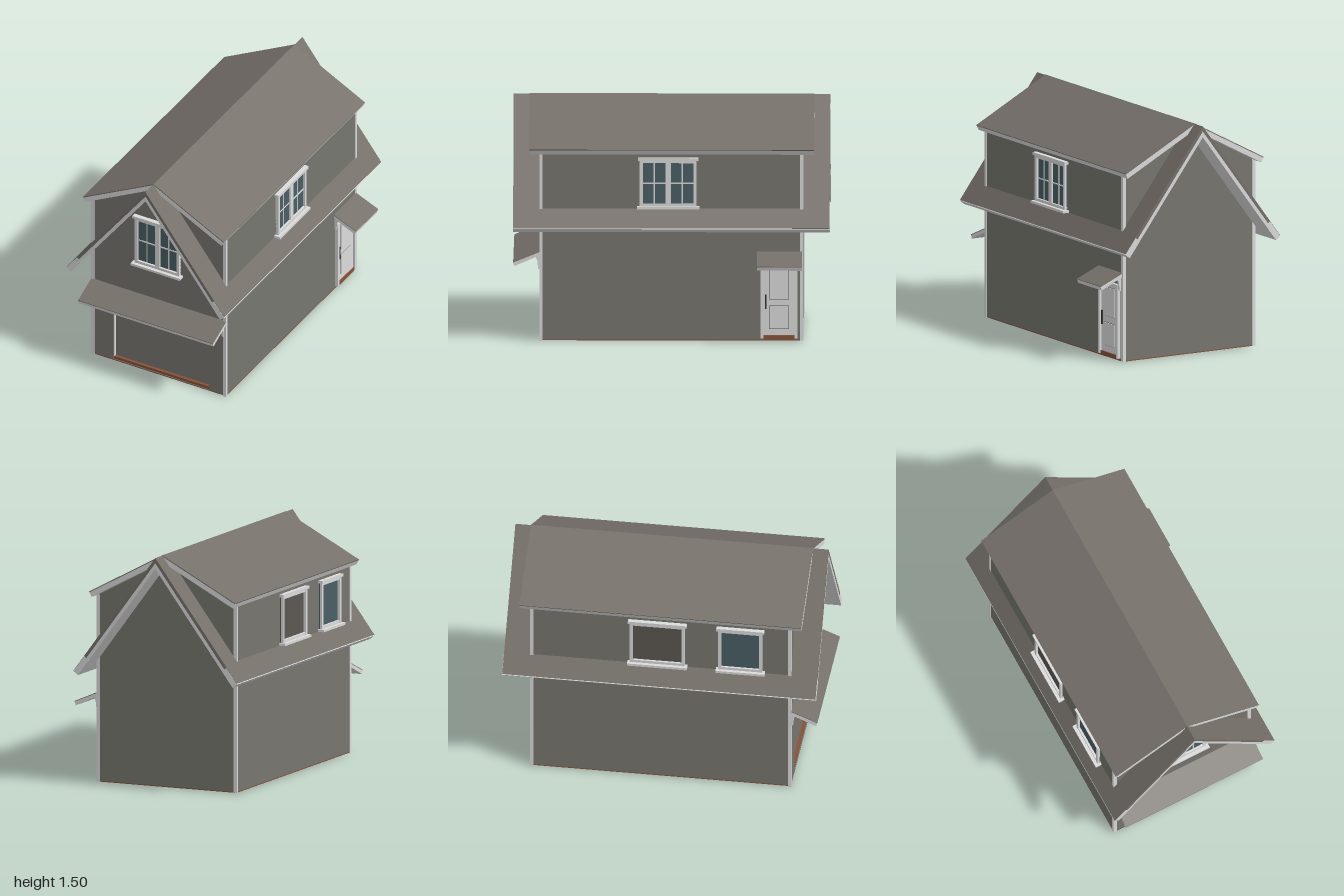
import * as THREE from 'three';

const mat = (name, color) => Object.assign(new THREE.MeshStandardMaterial({ color }), { name });

export function createModel() {
  const siding = mat('siding', 0x77766f);
  const roofing = mat('roofing', 0x76706a);
  const trim = mat('white trim', 0xdcdcdc);
  const glass = mat('glass', 0x4a5f65);
  const brown = mat('brown floor', 0x86523a);
  const dark = mat('dark metal', 0x303030);
  const dim = mat('dim room', 0x5c5852);

  const model = new THREE.Group();
  model.name = 'house';
  const house = new THREE.Group();
  house.name = 'garageHouse';
  house.position.x = -0.04;
  model.add(house);

  const add = (parent, name, geo, m) => {
    const mesh = new THREE.Mesh(geo, m);
    mesh.name = name;
    parent.add(mesh);
    return mesh;
  };
  // box given by its limits on each axis
  const box = (parent, name, m, x0, x1, y0, y1, z0, z1) => {
    const mesh = add(parent, name, new THREE.BoxGeometry(x1 - x0, y1 - y0, z1 - z0), m);
    mesh.position.set((x0 + x1) / 2, (y0 + y1) / 2, (z0 + z1) / 2);
    return mesh;
  };
  // outline in x and y, extruded from z0 to z1
  const prism = (parent, name, m, pts, z0, z1, hole) => {
    const shape = new THREE.Shape(pts.map(p => new THREE.Vector2(...p)));
    if (hole) shape.holes.push(new THREE.Path(hole.map(p => new THREE.Vector2(...p))));
    const geo = new THREE.ExtrudeGeometry(shape, { depth: z1 - z0, bevelEnabled: false });
    geo.translate(0, 0, z0);
    return add(parent, name, geo, m);
  };

  // walls, with a shallow recess for the garage door
  const W = 0.488, D = 0.83;
  const outline = [[-W, 0.01], [W, 0.01], [W, 1.2], [0, 1.46], [-W, 1.2]];
  prism(house, 'walls', siding, outline, -D, D - 0.025);
  prism(house, 'frontWall', siding, outline, D - 0.025, D,
    [[-0.33, 0.012], [-0.33, 0.5], [0.365, 0.5], [0.365, 0.012]]);
  box(house, 'garageThreshold', brown, -0.33, 0.365, 0.012, 0.03, D - 0.03, D - 0.005);
  box(house, 'garageJamb', trim, -0.33, -0.326, 0.03, 0.5, D - 0.025, D - 0.004);
  box(house, 'floor', brown, -W, W, 0.004, 0.01, -D, D);

  // corner boards
  for (const sx of [-1, 1]) for (const sz of [-1, 1]) {
    const x = sx * 0.48, z = sz * 0.8235;
    box(house, 'cornerBoard', trim, x - 0.0115, x + 0.0115, sz > 0 ? 0 : 0.005, 1.205, z - 0.0105, z + 0.0105);
  }

  // one layer of a gable roof, both pitches, from half width xa to xb
  const PEAK = 1.5;
  const layer = (name, m, eaveX, eaveY, xa, xb, d0, d1, halfLen, z0 = -halfLen) => {
    const s = (PEAK - eaveY) / eaveX, len = Math.hypot(1, s);
    const at = (x, d) => x === 0 ? [0, PEAK - d * len] : [x - d * s / len, PEAK - s * x - d / len];
    for (const side of [-1, 1]) {
      const pts = [at(xa, d0), at(xb, d0), at(xb, d1), at(xa, d1)].map(([x, y]) => [x * side, y]);
      prism(house, name, m, pts, z0, halfLen);
    }
  };
  // steep main roof
  layer('mainRoof', roofing, 0.575, 0.735, 0, 0.573, 0, 0.02, 1);
  layer('mainRoofSoffit', trim, 0.575, 0.735, 0, 0.575, 0.02, 0.042, 1);
  layer('eaveFascia', trim, 0.575, 0.735, 0.572, 0.576, 0.001, 0.042, 1);
  for (const z of [-1, 0.996])
    layer('eaveReturn', trim, 0.575, 0.735, 0.5, 0.575, 0.002, 0.042, z + 0.004 + 0.001, z - 0.001);
  // shallow dormer roof
  layer('dormerRoof', roofing, 0.512, 1.23, 0, 0.512, -0.002, 0.004, 0.9);
  layer('dormerSoffit', trim, 0.512, 1.23, 0, 0.512, 0.004, 0.036, 0.9);

  // sloping canopy, built along z with its slope facing +x
  const canopy = (name, len, depth) => {
    const g = new THREE.Group();
    g.name = name;
    const h = len / 2;
    prism(g, 'canopyRoof', roofing, [[0, 0.577], [depth, 0.507], [depth, 0.503], [0, 0.572]], -h, h);
    prism(g, 'canopyBoard', trim, [[0, 0.572], [depth, 0.503], [depth - 0.008, 0.48], [0, 0.55]], -h, h);
    for (const z of [-h + 0.02, h - 0.02])
      prism(g, 'bracket', trim, [[0, 0.55], [0.03, 0.54], [0.018, 0.515], [0.012, 0.46], [0, 0.46]], z - 0.008, z + 0.008);
    house.add(g);
    return g;
  };
  const front = canopy('garageCanopy', 0.98, 0.17);
  front.rotation.y = -Math.PI / 2;
  front.position.z = D;
  canopy('doorCanopy', 0.285, 0.16).position.set(0.49, 0, -0.683);

  // framed window facing +z, centred on its own origin
  const windowUnit = (name, w, h, sashes, pane) => {
    const g = new THREE.Group();
    g.name = name;
    const a = w / 2, b = h / 2, f = 0.02;
    box(g, 'windowPane', pane, -a, a, -b, b, 0, 0.006);
    for (const s of [-1, 1]) {
      box(g, 'sideCasing', trim, s * (a - f / 2) - f / 2, s * (a - f / 2) + f / 2, -b, b, 0, 0.022);
      box(g, 'railCasing', trim, -a, a, s * (b - f / 2) - f / 2, s * (b - f / 2) + f / 2, 0, 0.02);
    }
    box(g, 'head', trim, -a - 0.012, a + 0.012, b - 0.004, b + 0.014, 0, 0.03);
    box(g, 'sill', trim, -a - 0.016, a + 0.016, -b - 0.014, -b + 0.002, 0, 0.042);
    if (sashes) {
      box(g, 'mullion', trim, -0.017, 0.017, -b, b, 0, 0.018);
      box(g, 'crossBar', trim, -a, a, -0.004, 0.004, 0, 0.01);
      for (const s of [-1, 1]) {
        const x = s * (a - f + 0.017) / 2;
        box(g, 'muntin', trim, x - 0.004, x + 0.004, -b, b, 0, 0.01);
      }
    }
    house.add(g);
    return g;
  };
  windowUnit('frontWindow', 0.325, 0.345, true, glass).position.set(-0.002, 0.99, D);
  const sideWindows = [
    ['leftWindow', 1, 0.02, 0.36, true, glass],
    ['rightMiddleWindow', -1, -0.02, 0.35, false, dim],
    ['rightFrontWindow', -1, 0.51, 0.28, false, glass],
  ];
  for (const [name, side, z, w, sashes, pane] of sideWindows) {
    const win = windowUnit(name, w, 0.3, sashes, pane);
    win.rotation.y = side * Math.PI / 2;
    win.position.set(side * W, 1.015, z);
  }

  // side door, facing +z in its own frame
  const door = new THREE.Group();
  door.name = 'sideDoor';
  box(door, 'doorLeaf', trim, -0.1, 0.1, 0.04, 0.48, 0, 0.008);
  for (const s of [-1, 1])
    box(door, 'doorCasing', trim, s * 0.108 - 0.01, s * 0.108 + 0.01, 0.02, 0.49, 0, 0.02);
  box(door, 'doorHead', trim, -0.118, 0.118, 0.475, 0.495, 0, 0.02);
  box(door, 'doorThreshold', brown, -0.098, 0.098, 0.012, 0.038, 0, 0.014);
  for (const [y0, y1] of [[0.08, 0.23], [0.27, 0.46]]) {
    box(door, 'panelGroove', dim, -0.064, 0.064, y0, y1, 0.002, 0.0085);
    box(door, 'doorPanel', trim, -0.061, 0.061, y0 + 0.003, y1 - 0.003, 0.002, 0.013);
  }
  box(door, 'doorHandle', dark, -0.088, -0.078, 0.21, 0.3, 0.008, 0.016);
  door.rotation.y = Math.PI / 2;
  door.position.set(W, 0, -0.68);
  house.add(door);

  return model;
}
